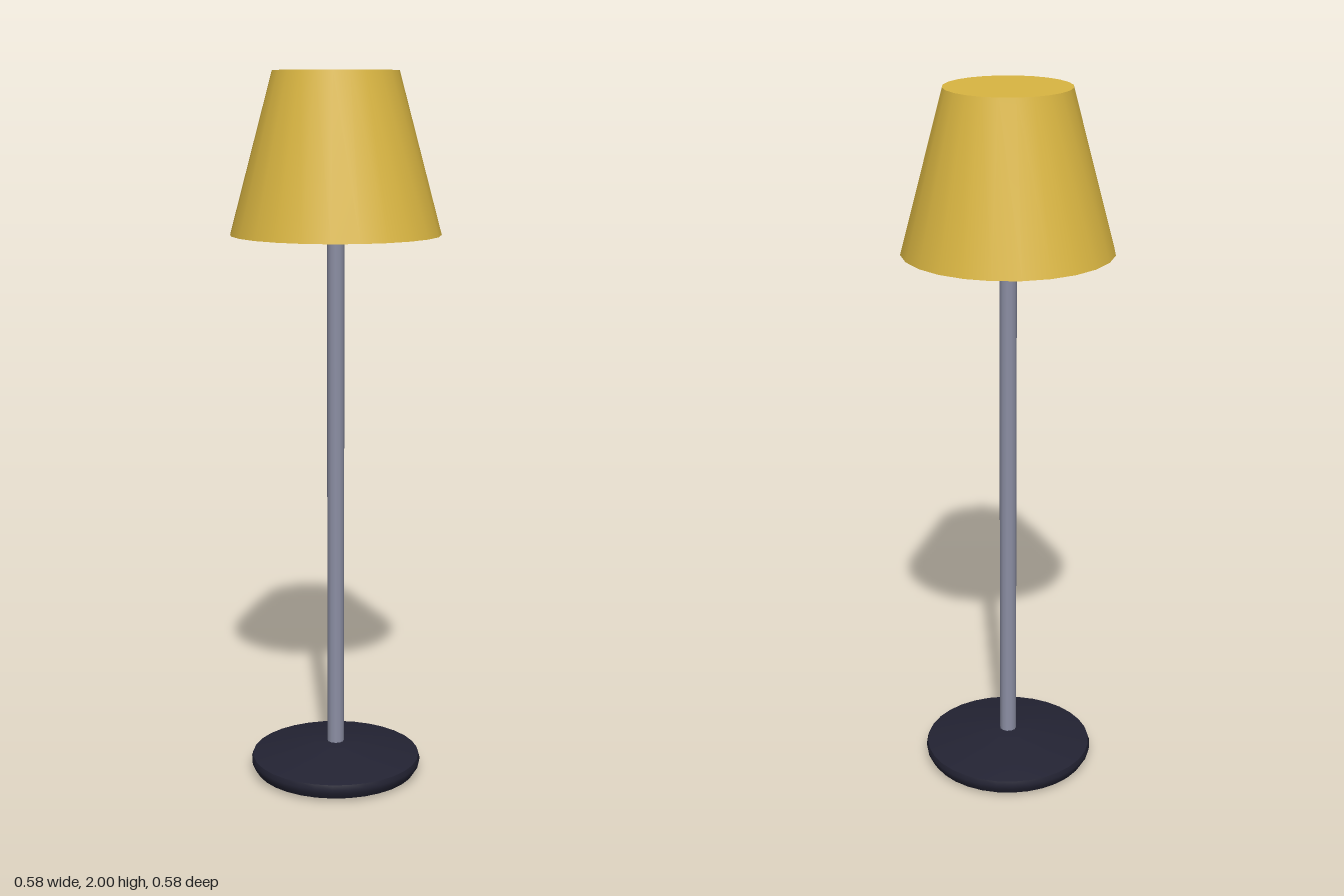
import * as THREE from 'three';
import { toCreasedNormals } from 'three/addons/utils/BufferGeometryUtils.js';

const material = (name, color) => {
  const m = new THREE.MeshStandardMaterial({ color });
  m.name = name;
  return m;
};

// Solid of revolution from [radius, height] points, listed from bottom to top
function turned(name, points, sides, mat) {
  const profile = points.map(([r, y]) => new THREE.Vector2(r, y));
  const geometry = toCreasedNormals(new THREE.LatheGeometry(profile, sides), 0.6);
  const mesh = new THREE.Mesh(geometry, mat);
  mesh.name = name;
  return mesh;
}

export function createModel() {
  const group = new THREE.Group();
  group.name = 'floorLamp';

  const yellow = material('shadeYellow', 0xdab642);
  const grey = material('poleGrey', 0x8c8fa4);
  const dark = material('baseDark', 0x232333);
  const cream = material('diffuserCream', 0xd6cdb8);

  // Weighted foot with a rounded rim and a shallow conical top
  group.add(turned('base', [
    [0, 0], [0.215, 0.003], [0.232, 0.01], [0.243, 0.028], [0.245, 0.04],
    [0.241, 0.053], [0.065, 0.09], [0, 0.09],
  ], 32, dark));

  // Slim upright
  const pole = new THREE.Mesh(new THREE.CylinderGeometry(0.024, 0.024, 1.5, 12), grey);
  pole.name = 'pole';
  pole.position.y = 0.83;
  group.add(pole);

  // Tapered shade, closed on top, with a narrow lip underneath
  group.add(turned('shade', [
    [0.262, 1.566], [0.262, 1.56], [0.29, 1.56], [0.172, 2], [0, 2],
  ], 24, yellow));

  // Diffuser disc closing the underside of the shade
  const diffuser = new THREE.Mesh(new THREE.CylinderGeometry(0.262, 0.262, 0.008, 24), cream);
  diffuser.name = 'diffuser';
  diffuser.position.y = 1.566;
  group.add(diffuser);

  return group;
}
